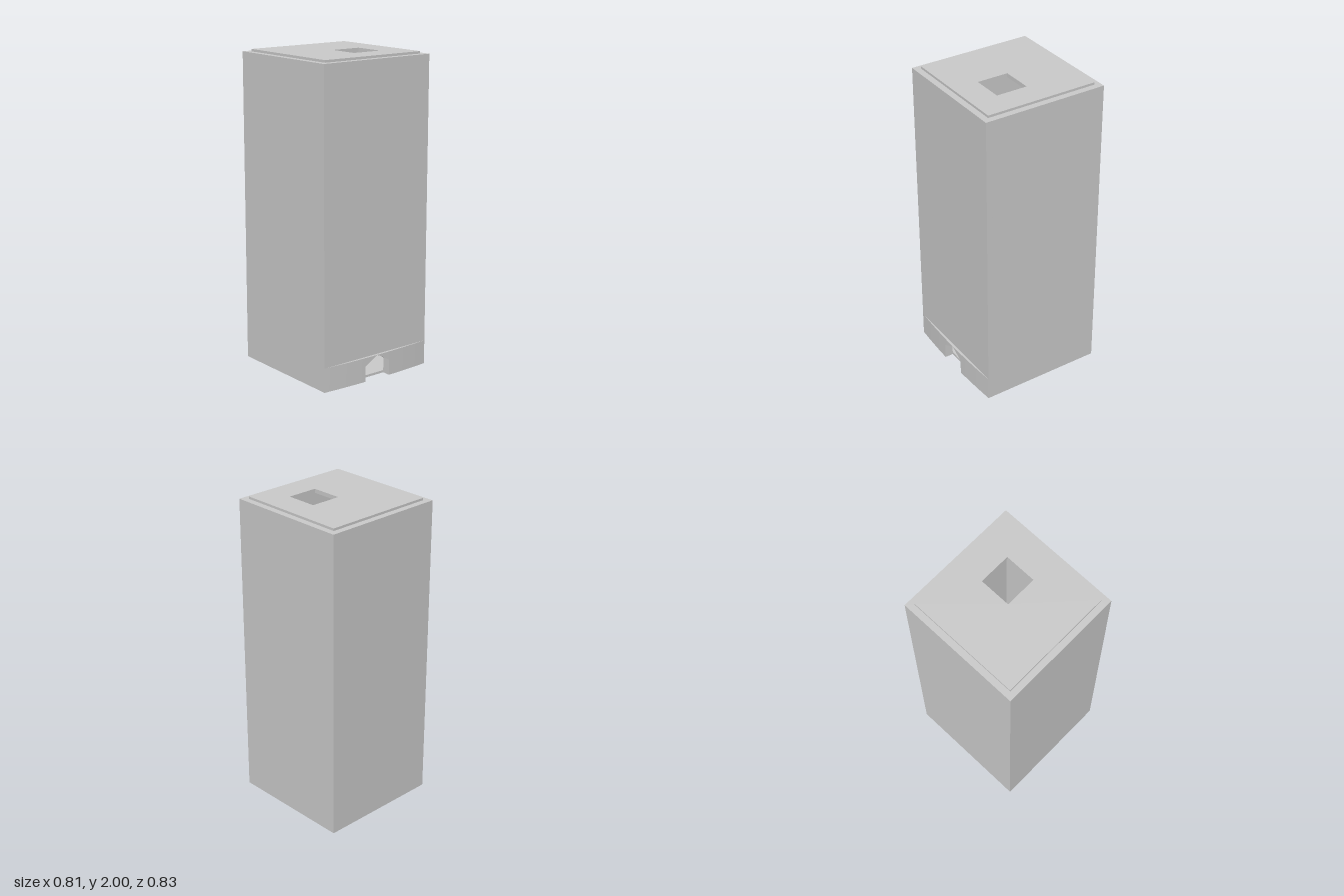
import * as THREE from 'three';

const W = 0.405, BACK = -0.415, FRONT = 0.395, T = 0.04, H = 1.985;
const DOOR = 0.095, EAVE = 0.1, PEAK = 0.155;

export function createModel() {
  const group = new THREE.Group();
  const material = new THREE.MeshStandardMaterial({ color: 0xcccccc, flatShading: true });
  const smooth = new THREE.MeshStandardMaterial({ color: 0xcccccc });

  const add = (name, geometry, mat = material) => {
    const mesh = new THREE.Mesh(geometry, mat);
    mesh.name = name;
    group.add(mesh);
  };
  const shapeOf = (pts) => new THREE.Shape(pts.map(([x, y]) => new THREE.Vector2(x, y)));
  const extrude = (shape, depth) => new THREE.ExtrudeGeometry(shape, { depth, bevelEnabled: false });
  // plan shape in (x, -z), raised from y0
  const raise = (shape, y0, height) => extrude(shape, height).rotateX(-Math.PI / 2).translate(0, y0, 0);
  const plan = (x0, x1, z0, z1) => [[x0, -z1], [x1, -z1], [x1, -z0], [x0, -z0]];

  // Back and side walls of the hollow tower
  const inner = W - T, joint = FRONT - T;
  add('sideAndBackWalls', raise(shapeOf([
    [-W, -joint], [-inner, -joint], [-inner, -BACK - T], [inner, -BACK - T],
    [inner, -joint], [W, -joint], [W, -BACK], [-W, -BACK],
  ]), 0, H));

  // Front wall with a gabled doorway
  add('frontWall', extrude(shapeOf([
    [-W, 0], [-DOOR, 0], [-DOOR, EAVE], [0, PEAK], [DOOR, EAVE], [DOOR, 0],
    [W, 0], [W, H], [-W, H],
  ]), T).translate(0, 0, joint));

  // Floor
  add('floor', raise(shapeOf(plan(-inner, inner, BACK + T, joint)), 0, 0.015));

  // Raised lid with a square hatch
  const lid = shapeOf(plan(-inner, inner, BACK + T, joint));
  lid.holes.push(new THREE.Path(plan(-0.01, 0.192, -0.02, 0.184).map(([x, y]) => new THREE.Vector2(x, y))));
  add('lid', raise(lid, 1.975, 0.025));

  // Bowed plinth in three pieces around the doorway
  const plinthPiece = (name, x0, x1, underside) => {
    const g = new THREE.BoxGeometry(x1 - x0, 1, 1, 12, 1, 1).translate((x0 + x1) / 2, 0, 0);
    const p = g.attributes.position;
    for (let i = 0; i < p.count; i++) {
      const x = p.getX(i);
      const bow = 0.016 * (1 - (x / W) ** 2);
      p.setY(i, p.getY(i) > 0 ? PEAK : underside(x));
      p.setZ(i, FRONT + (p.getZ(i) > 0 ? bow : 0));
    }
    g.computeVertexNormals();
    add(name, g, smooth);
  };
  plinthPiece('plinthRight', -W, -DOOR, () => 0);
  plinthPiece('plinthLintel', -DOOR, DOOR, (x) => PEAK - (PEAK - EAVE) * Math.abs(x) / DOOR);
  plinthPiece('plinthLeft', DOOR, W, () => 0);

  // Inside: ramp along the back wall and a corner landing
  add('ramp', extrude(shapeOf([[0.02, 0.015], [inner, 0.015], [inner, 0.19]]), 0.34)
    .translate(0, 0, BACK + T));
  add('landing', raise(shapeOf(plan(-inner, 0.055, BACK + T, 0.01)), 1, 0.02));

  return group;
}
